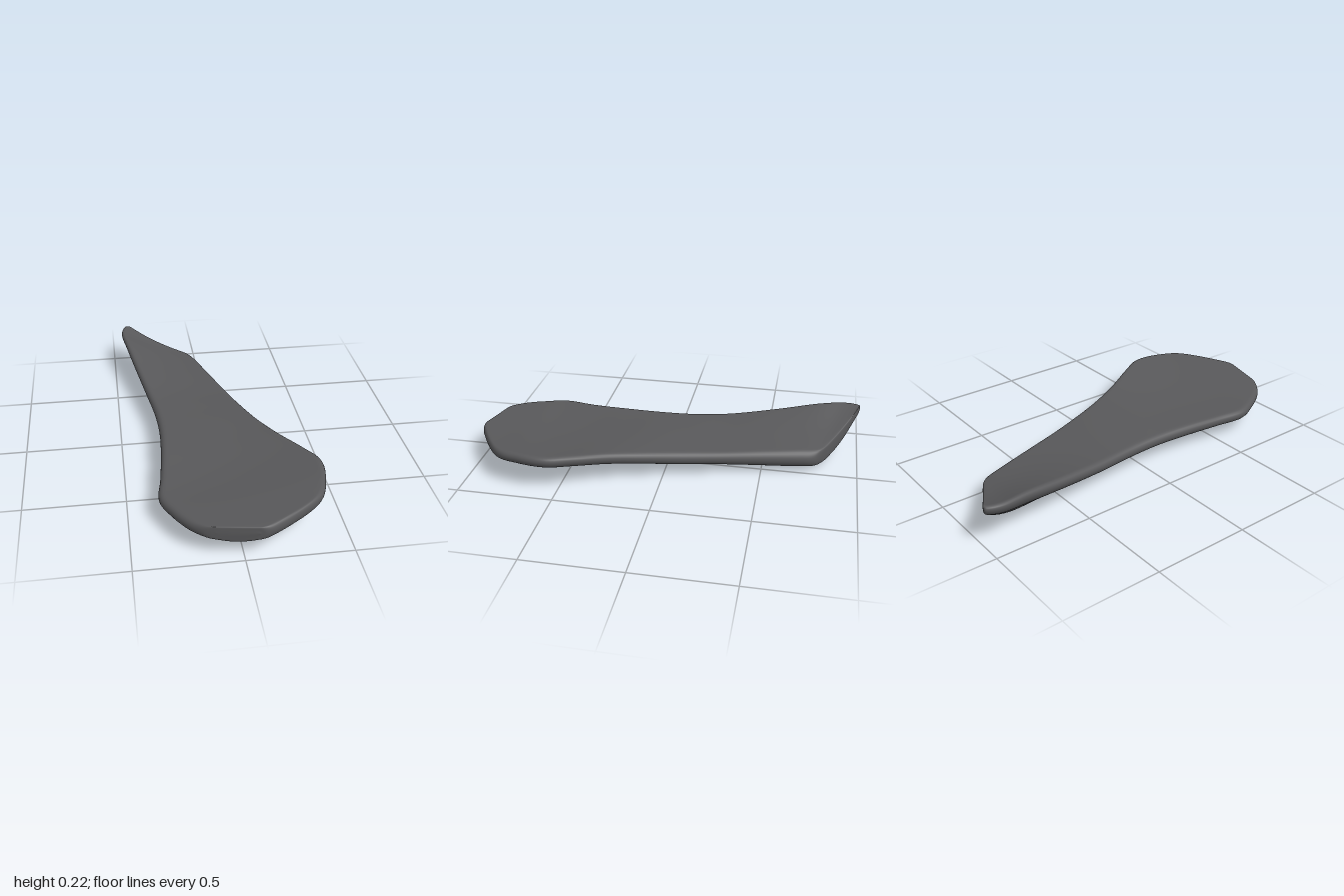
import * as THREE from 'three';

// Slanted cross-sections from back to front:
// left edge x, z, y | right edge x, z, y | rim radius left, right | top dish, belly depth
const SECTIONS = [
  [-0.395, -0.99, 0.208, -0.12, -0.84, 0.070, 0.022, 0.036, -0.012, -0.020],
  [-0.43, -0.99, 0.208, -0.06, -0.80, 0.066, 0.023, 0.040, -0.015, -0.040],
  [-0.45, -0.91, 0.204, -0.025, -0.76, 0.064, 0.026, 0.044, -0.020, -0.066],
  [-0.43, -0.77, 0.193, 0.00, -0.68, 0.070, 0.029, 0.045, -0.020, -0.085],
  [-0.39, -0.55, 0.157, 0.055, -0.48, 0.083, 0.030, 0.040, -0.012, -0.066],
  [-0.345, -0.30, 0.125, 0.11, -0.28, 0.094, 0.030, 0.035, -0.004, -0.041],
  [-0.315, -0.10, 0.116, 0.165, -0.10, 0.105, 0.030, 0.035, 0.002, -0.032],
  [-0.305, 0.10, 0.115, 0.225, 0.08, 0.122, 0.030, 0.032, 0.002, -0.042],
  [-0.315, 0.30, 0.113, 0.30, 0.26, 0.145, 0.030, 0.030, -0.010, -0.073],
  [-0.335, 0.50, 0.110, 0.385, 0.42, 0.163, 0.028, 0.028, -0.018, -0.097],
  [-0.355, 0.66, 0.112, 0.442, 0.55, 0.173, 0.028, 0.028, -0.018, -0.104],
  [-0.31, 0.78, 0.119, 0.425, 0.70, 0.172, 0.028, 0.028, -0.008, -0.093],
  [-0.25, 0.88, 0.126, 0.36, 0.84, 0.163, 0.030, 0.028, -0.003, -0.064],
  [-0.19, 0.935, 0.131, 0.14, 0.985, 0.147, 0.031, 0.031, 0.000, -0.028],
  [-0.13, 0.957, 0.133, 0.06, 0.998, 0.142, 0.032, 0.032, 0.000, -0.012],
];

const lerp = THREE.MathUtils.lerp;

// Quarter-circle rise from 0 to 1 over the distance r
const roundOff = (d, r) => Math.sqrt(Math.max(0, 1 - (1 - Math.min(d / r, 1)) ** 2));

// Smoothly interpolated section at v in 0..1
function sectionAt(v) {
  const last = SECTIONS.length - 1;
  const i = Math.min(Math.floor(v * last), last - 1);
  const t = v * last - i;
  const row = (k) => SECTIONS[Math.max(0, Math.min(last, k))];
  return SECTIONS[0].map((_, c) => {
    const [a, b, d, e] = [row(i - 1)[c], row(i)[c], row(i + 1)[c], row(i + 2)[c]];
    return b + 0.5 * t * (d - a + t * (2 * a - 5 * b + 4 * d - e + t * (3 * (b - d) + e - a)));
  });
}

function slabGeometry(rows = 140, half = 36) {
  const ring = half * 2;
  const positions = [];
  const indices = [];
  for (let i = 0; i <= rows; i++) {
    const v = (1 - Math.cos((Math.PI * i) / rows)) / 2;
    const [lx, lz, ly, rx, rz, ry, rl, rr, dish, belly] = sectionAt(v);
    const width = Math.hypot(rx - lx, rz - lz);
    const cap = roundOff(v, 0.06) * roundOff(1 - v, 0.06);
    for (let j = 0; j < ring; j++) {
      // Top runs left to right, then the underside returns
      const u = (1 - Math.cos((Math.PI * j) / half)) / 2;
      const r = lerp(rl, rr, u);
      const rim = r * roundOff(Math.min(u, 1 - u) * width, r);
      const bow = Math.max(0, Math.sin(Math.PI * u));
      const top = rim + dish * bow;
      const bottom = -rim + belly * bow ** 1.2;
      const middle = (top + bottom) / 2;
      const thick = ((top - bottom) / 2) * cap;
      const y = lerp(ly, ry, u) + middle + (j <= half ? thick : -thick);
      positions.push(lerp(lx, rx, u), y, lerp(lz, rz, u));
      if (i < rows) {
        const p = i * ring + j;
        const q = i * ring + ((j + 1) % ring);
        indices.push(p, p + ring, q, q, p + ring, q + ring);
      }
    }
  }
  const geometry = new THREE.BufferGeometry();
  geometry.setAttribute('position', new THREE.Float32BufferAttribute(positions, 3));
  geometry.setIndex(indices);
  // Stand on y = 0, centred
  geometry.computeBoundingBox();
  const box = geometry.boundingBox;
  const centre = box.getCenter(new THREE.Vector3());
  geometry.translate(-centre.x, -box.min.y, -centre.z);
  geometry.computeVertexNormals();
  return geometry;
}

export function createModel() {
  const model = new THREE.Group();
  model.name = 'curvedSlab';
  const charcoal = new THREE.MeshStandardMaterial({ color: 0x58585a });
  charcoal.name = 'charcoal';
  const slab = new THREE.Mesh(slabGeometry(), charcoal);
  slab.name = 'slab';
  model.add(slab);
  return model;
}
